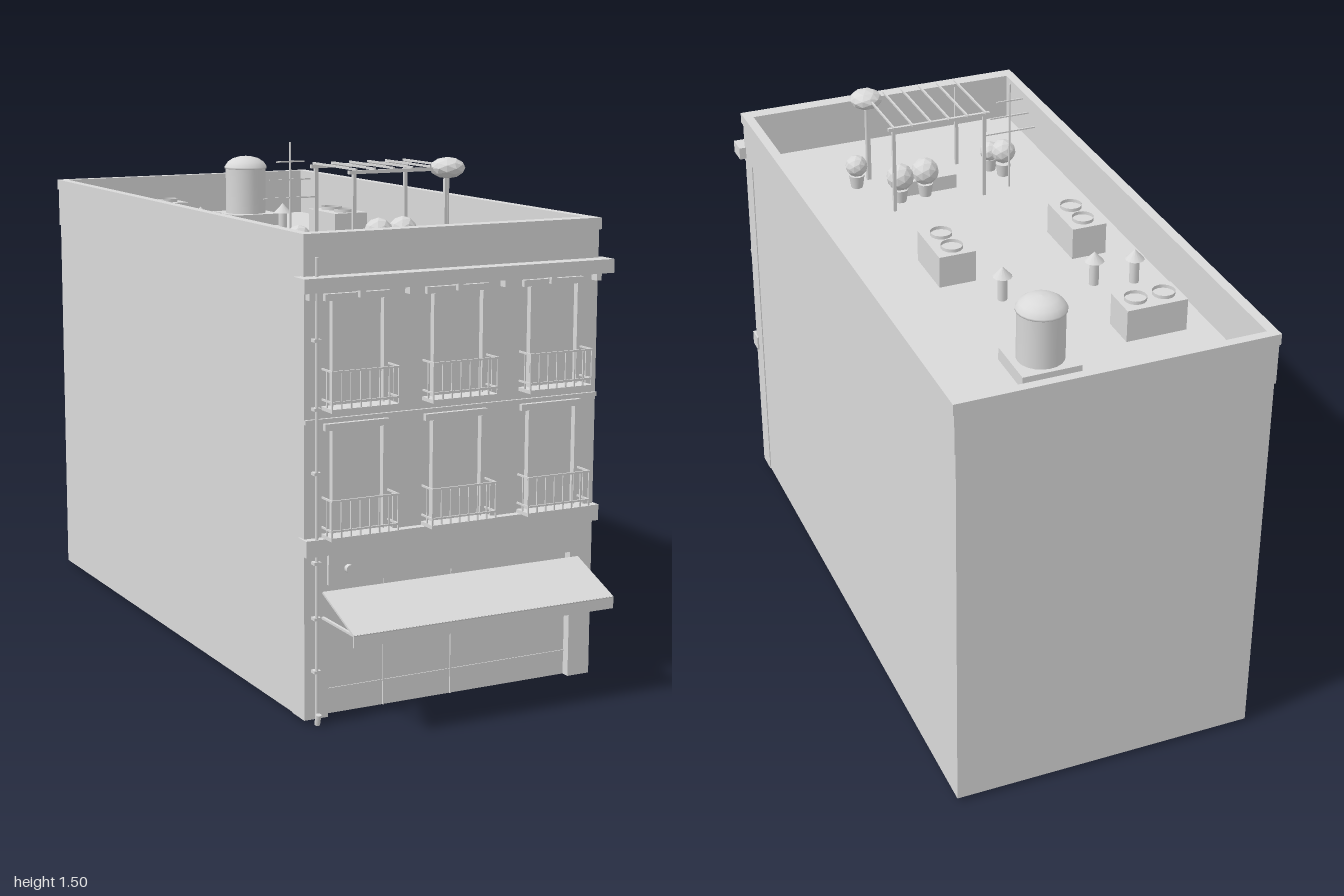
import * as THREE from 'three';

export function createModel() {
  const root = new THREE.Group();
  const grey = new THREE.MeshStandardMaterial({ color: 0xd9d9d9, side: THREE.DoubleSide });
  grey.name = 'plain grey';

  const add = (name, geo, x = 0, y = 0, z = 0, parent = root) => {
    const m = new THREE.Mesh(geo, grey);
    m.name = name;
    m.position.set(x, y, z);
    parent.add(m);
    return m;
  };
  // box given by its limits on each axis
  const box = (name, x0, x1, y0, y1, z0, z1, parent = root) =>
    add(name, new THREE.BoxGeometry(x1 - x0, y1 - y0, z1 - z0), (x0 + x1) / 2, (y0 + y1) / 2, (z0 + z1) / 2, parent);
  const rod = (name, r, y0, y1, x, z, parent = root, sides = 8, open = false) =>
    add(name, new THREE.CylinderGeometry(r, r, y1 - y0, sides, 1, open), x, (y0 + y1) / 2, z, parent);
  const group = (name) => {
    const g = new THREE.Group();
    g.name = name;
    root.add(g);
    return g;
  };
  // faceted ball of leaves
  const leaves = (name, r, x, y, z, parent) => {
    const geo = new THREE.IcosahedronGeometry(r, 1);
    geo.computeVertexNormals();
    return add(name, geo, x, y, z, parent);
  };

  const ROOF = 1.16, FRONT = 0.815;

  // Main block
  box('mainBlock', -0.447, 0.447, 0.01, ROOF, -0.996, 0.745);

  // Front wall with the shop opening
  const wall = new THREE.Shape();
  [[-0.45, 0.01], [-0.38, 0.01], [-0.38, 0.372], [0.38, 0.372], [0.38, 0.01], [0.45, 0.01], [0.45, ROOF], [-0.45, ROOF]]
    .forEach(([x, y], i) => (i ? wall.lineTo(x, y) : wall.moveTo(x, y)));
  add('frontWall', new THREE.ExtrudeGeometry(wall, { depth: FRONT - 0.745, bevelEnabled: false }), 0, 0, 0.745);

  // Shop front
  const shop = group('shopFront');
  box('shopGlazing', -0.38, 0.38, 0.01, 0.372, 0.745, 0.79, shop);
  for (const x of [-0.2, 0.01]) box('shopMullion', x - 0.002, x + 0.002, 0.01, 0.372, 0.79, 0.794, shop);
  box('shopRail', -0.38, 0.38, 0.077, 0.081, 0.79, 0.793, shop);
  box('fascia', -0.383, 0.38, 0.375, 0.457, FRONT, 0.825);
  add('alarmBell', new THREE.CylinderGeometry(0.012, 0.012, 0.015, 16), -0.325, 0.415, 0.832).rotation.x = Math.PI / 2;

  // Awning: sloped sheet, valance and side arms
  const awning = group('awning');
  const slope = box('awningSheet', -0.4, 0.4, -0.003, 0.003, -0.096, 0.096, awning);
  slope.position.set(0, 0.321, 0.911);
  slope.rotation.x = Math.atan2(0.07, 0.175);
  box('valance', -0.4, 0.4, 0.255, 0.289, 0.994, 1, awning);
  for (const x of [-0.395, 0.395]) box('awningArm', x - 0.004, x + 0.004, 0.283, 0.289, 0.8, 0.996, awning);

  // Belt course, string course, cornice
  box('beltCourse', -0.455, 0.455, 0.46, 0.505, 0.79, 0.838);
  box('stringCourse', -0.45, 0.45, 0.81, 0.822, FRONT, 0.823);
  box('cornice', -0.472, 0.472, 1.157, 1.195, 0.8, 0.862);
  for (let i = -3; i <= 3; i++) box('corniceBracket', i * 0.146 - 0.008, i * 0.146 + 0.008, 1.135, 1.157, FRONT, 0.84);

  // Windows with thin projecting jambs, lintels and balconies
  for (const x of [-0.3, 0, 0.3]) for (const f of [{ y: 0.51, top: 0.79 }, { y: 0.85, top: 1.13 }]) {
    const g = group('windowBay');
    for (const s of [-1, 1]) box('windowJamb', x + s * 0.075 - 0.0015, x + s * 0.075 + 0.0015, f.y, f.top, FRONT, 0.833, g);
    box('lintel', x - 0.095, x + 0.095, f.top, f.top + 0.018, FRONT, 0.828, g);
    const b = f.y - 0.005, t = f.y + 0.105, X = 0.098, Z = 0.872;
    box('balconySlab', x - 0.1, x + 0.1, b, b + 0.01, FRONT, 0.875, g);
    for (const y of [b + 0.025, t - 0.005]) {
      box('frontRail', x - 0.1, x + 0.1, y, y + 0.005, Z - 0.002, Z + 0.003, g);
      for (const s of [-1, 1]) box('sideRail', x + s * X - 0.002, x + s * X + 0.002, y, y + 0.005, FRONT, Z, g);
    }
    for (let i = 0; i <= 7; i++) {
      const bx = x - X + (i * 2 * X) / 7;
      box('baluster', bx - 0.0018, bx + 0.0018, b, t, Z - 0.002, Z + 0.002, g);
    }
    for (const s of [-1, 1])
      box('sideBaluster', x + s * X - 0.0018, x + s * X + 0.0018, b, t, 0.842, 0.846, g);
  }

  // Drainpipe with clips and a foot
  const pipe = group('drainpipe');
  rod('pipe', 0.005, 0.01, 1.245, -0.42, 0.828, pipe);
  for (const y of [0.145, 0.29, 0.44, 0.68, 0.85, 1.03]) box('pipeClip', -0.43, -0.41, y - 0.004, y + 0.004, FRONT, 0.835, pipe);
  add('pipeFoot', new THREE.CylinderGeometry(0.008, 0.008, 0.03, 8), -0.42, 0.015, 0.835, pipe).rotation.x = 0.3;

  // Parapet and coping as hollow rings: [half width, back z, front z]
  const ring = (name, o, i, y, h) => {
    const rect = (path, [x, z0, z1]) => path.moveTo(-x, -z1).lineTo(x, -z1).lineTo(x, -z0).lineTo(-x, -z0).closePath();
    const s = new THREE.Shape(), p = new THREE.Path();
    rect(s, o);
    rect(p, i);
    s.holes.push(p);
    add(name, new THREE.ExtrudeGeometry(s, { depth: h, bevelEnabled: false }), 0, y, 0).rotation.x = -Math.PI / 2;
  };
  ring('parapet', [0.451, -0.998, FRONT], [0.43, -0.977, 0.785], ROOF - 0.005, 0.12);
  ring('coping', [0.455, -1, 0.822], [0.426, -0.973, 0.778], 1.273, 0.032);

  // Water tank on a pad
  const tank = group('waterTank');
  box('tankPad', 0.01, 0.18, ROOF, 1.198, -0.79, -0.625, tank);
  const profile = [[0.066, 1.198], [0.066, 1.343], [0.07, 1.343], [0.07, 1.349], [0.06, 1.364], [0.042, 1.376], [0.02, 1.382], [0, 1.384]];
  const lathe = new THREE.LatheGeometry(profile.map(([r, y]) => new THREE.Vector2(r, y)), 20);
  add('tankBody', lathe, 0.095, 0, -0.71, tank);

  // Air conditioners with two open fan rings each
  for (const [x0, x1, z0, z1] of [[-0.355, -0.175, -0.67, -0.565], [-0.335, -0.23, -0.19, -0.01], [0.075, 0.185, -0.205, -0.03]]) {
    const g = group('airConditioner');
    box('unitCase', x0, x1, ROOF, 1.255, z0, z1, g);
    const alongX = x1 - x0 > z1 - z0;
    for (const s of [-0.042, 0.042])
      rod('fanRing', 0.032, 1.255, 1.265, (x0 + x1) / 2 + (alongX ? s : 0), (z0 + z1) / 2 + (alongX ? 0 : s), g, 14, true);
  }

  // Roof vents with conical caps
  for (const [x, z] of [[-0.338, -0.375], [-0.227, -0.345], [0.046, -0.33]]) {
    const g = group('roofVent');
    rod('ventPipe', 0.014, ROOF, 1.235, x, z, g, 10);
    add('ventCap', new THREE.ConeGeometry(0.028, 0.03, 12), x, 1.248, z, g);
  }

  // Pergola
  const pergola = group('pergola');
  for (const z of [0.285, 0.515]) {
    for (const x of [-0.148, 0.14]) box('post', x - 0.005, x + 0.005, ROOF, 1.425, z - 0.005, z + 0.005, pergola);
    box('beam', -0.165, 0.157, 1.423, 1.433, z - 0.005, z + 0.005, pergola);
  }
  for (let i = 0; i < 6; i++) box('slat', -0.151 + i * 0.058, -0.146 + i * 0.058, 1.433, 1.439, 0.27, 0.53, pergola);

  // Planter, potted shrubs and a tall small tree
  box('planter', -0.088, 0.09, ROOF, 1.205, 0.36, 0.43);
  for (const [x, z, r, y] of [[-0.255, 0.39, 0.038, 1.24], [-0.23, 0.44, 0.031, 1.222], [0.018, 0.35, 0.042, 1.24], [0.102, 0.34, 0.042, 1.24], [0.193, 0.48, 0.034, 1.23]]) {
    const g = group('pottedShrub');
    add('pot', new THREE.CylinderGeometry(0.024, 0.018, 0.04, 10), x, ROOF + 0.02, z, g);
    rod('stem', 0.005, ROOF + 0.03, y, x, z, g, 6);
    leaves('foliage', r, x, y, z, g);
  }
  const tree = group('smallTree');
  rod('trunk', 0.006, ROOF, 1.42, 0.145, 0.515, tree);
  leaves('crown', 0.05, 0.145, 1.43, 0.515, tree).scale.y = 0.6;

  // Antenna
  const antenna = group('antenna');
  rod('mast', 0.003, ROOF, 1.5, -0.24, 0.308, antenna, 6);
  for (const [y, h] of [[1.345, 0.083], [1.396, 0.063], [1.446, 0.043]])
    box('antennaBar', -0.24 - h, -0.24 + h, y - 0.002, y + 0.002, 0.306, 0.31, antenna);

  return root;
}
